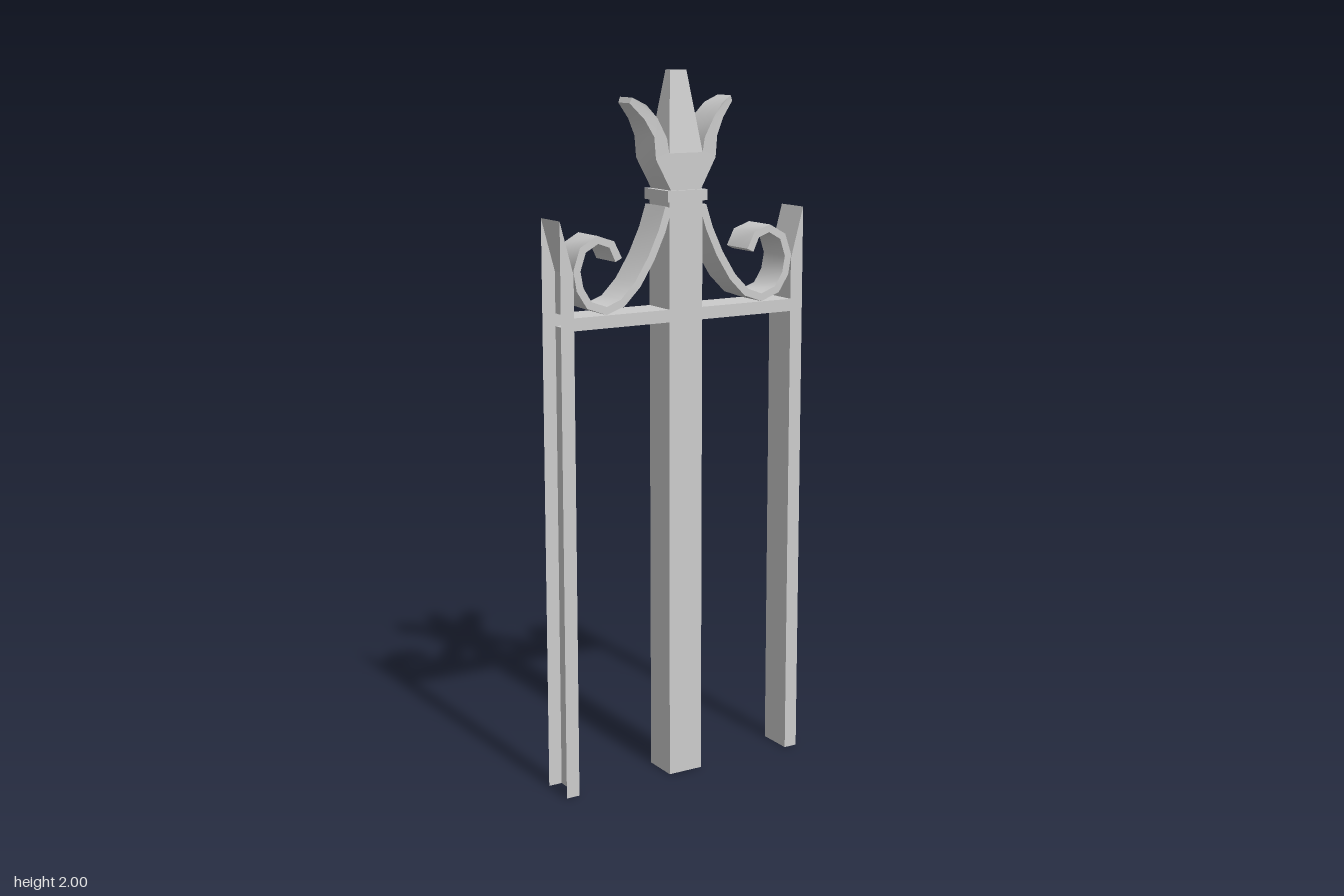
import * as THREE from 'three';
import { toCreasedNormals } from 'three/addons/utils/BufferGeometryUtils.js';

const D = 0.053; // half depth shared by nearly all parts
const RAIL_LOW = 1.32, RAIL_HIGH = 1.355, COLLAR = 1.65;
const material = new THREE.MeshStandardMaterial({ color: 0xcccccc, side: THREE.DoubleSide });

function add(parent, name, geometry) {
  const mesh = new THREE.Mesh(geometry, material);
  mesh.name = name;
  parent.add(mesh);
  return mesh;
}

// Sheet box between two corners, keeping only the listed sides
const SIDES = ['+x', '-x', '+y', '-y', '+z', '-z'];
function panelBox(x0, x1, y0, y1, keep, d = D) {
  const g = new THREE.BoxGeometry(x1 - x0, y1 - y0, 2 * d);
  const all = Array.from(g.index.array);
  g.setIndex(keep.split(' ').flatMap((s) => {
    const i = SIDES.indexOf(s) * 6;
    return all.slice(i, i + 6);
  }));
  g.clearGroups();
  return g.translate((x0 + x1) / 2, (y0 + y1) / 2, 0);
}

// Move every vertex by a rule
function reshape(g, rule) {
  const p = g.attributes.position, v = new THREE.Vector3();
  for (let i = 0; i < p.count; i++) {
    rule(v.fromBufferAttribute(p, i));
    p.setXYZ(i, v.x, v.y, v.z);
  }
  return g;
}

function extrude(points) {
  const g = new THREE.ExtrudeGeometry(new THREE.Shape(points), { depth: 2 * D, bevelEnabled: false });
  return g.translate(0, 0, -D);
}

const vectors = (list) => list.map(([x, y]) => new THREE.Vector2(x, y));

// Band of constant thickness along a path
function bandOutline(path, half) {
  const left = [], right = [];
  path.forEach((p, i) => {
    const a = path[Math.max(i - 1, 0)], b = path[Math.min(i + 1, path.length - 1)];
    const t = b.clone().sub(a).normalize();
    const n = new THREE.Vector2(-t.y, t.x).multiplyScalar(half);
    left.push(p.clone().add(n));
    right.unshift(p.clone().sub(n));
  });
  return left.concat(right);
}

const SCROLL = vectors([
  [0.055, 1.635], [0.076, 1.572], [0.11, 1.5], [0.153, 1.432], [0.2, 1.385], [0.25, 1.367],
  [0.303, 1.386], [0.331, 1.43], [0.34, 1.48], [0.321, 1.535], [0.276, 1.56], [0.233, 1.545], [0.212, 1.502],
]);
const LEAF = vectors([
  [0.03, 1.68], [0.048, 1.68], [0.095, 1.765], [0.1, 1.825], [0.125, 1.872], [0.163, 1.915],
  [0.156, 1.93], [0.12, 1.91], [0.09, 1.875], [0.06, 1.82], [0.053, 1.78], [0.03, 1.78],
]);

// Everything on one side; the other side is this turned half round
function buildSide() {
  const side = new THREE.Group();

  // Side post: channel open to the outside, with a slanted tip
  const post = new THREE.Group();
  post.name = 'sidePost';
  add(post, 'postShaft', panelBox(0.35, 0.39, 0, RAIL_LOW, '-x +z -z'));
  add(post, 'postJoint', panelBox(0.35, 0.39, RAIL_LOW, RAIL_HIGH, '+z -z'));
  const tip = reshape(panelBox(0.35, 0.39, RAIL_HIGH, 1.615, '-x +y +z -z'), (v) => {
    if (v.y > 1.5 && v.x < 0.37) v.y = 1.47;
  }).toNonIndexed();
  tip.computeVertexNormals();
  add(post, 'postTip', tip);
  side.add(post);

  // Hollow crossbar and the scroll resting on it
  add(side, 'crossbar', panelBox(D, 0.35, RAIL_LOW, RAIL_HIGH, '+y -y +z -z'));
  add(side, 'scroll', toCreasedNormals(extrude(bandOutline(SCROLL, 0.011)), 0.8));

  // Curled leaf, narrowing in depth towards its tip
  const leaf = reshape(extrude(LEAF), (v) => {
    v.z *= 1 - 0.43 * THREE.MathUtils.clamp((v.x - 0.1) / 0.063, 0, 1);
  });
  add(side, 'leaf', toCreasedNormals(leaf, 0.7));
  return side;
}

export function createModel() {
  const model = new THREE.Group();
  model.name = 'gatePanel';

  // Central post, open at the bottom and where the crossbar passes
  const post = new THREE.Group();
  post.name = 'centralPost';
  add(post, 'postShaft', panelBox(-D, D, 0, RAIL_LOW, '+x -x +z -z'));
  add(post, 'postJoint', panelBox(-D, D, RAIL_LOW, RAIL_HIGH, '+z -z'));
  add(post, 'postHead', panelBox(-D, D, RAIL_HIGH, COLLAR, '+x -x +z -z'));
  model.add(post);

  add(model, 'collar', panelBox(-0.063, 0.063, COLLAR, 1.68, SIDES.join(' '), 0.063));

  // Finial core and tapered spike
  add(model, 'finialCore', panelBox(-0.046, 0.046, 1.68, 1.78, '+x -x +z -z'));
  const spike = reshape(panelBox(-D, D, 1.78, 2, '+x -x +y +z -z'), (v) => {
    if (v.y > 1.9) v.set(Math.sign(v.x) * 0.026, v.y, Math.sign(v.z) * 0.012);
  }).toNonIndexed();
  spike.computeVertexNormals();
  add(model, 'spike', spike);

  ['leftSide', 'rightSide'].forEach((name, i) => {
    const side = buildSide();
    side.name = name;
    side.rotation.y = i * Math.PI;
    model.add(side);
  });
  return model;
}
